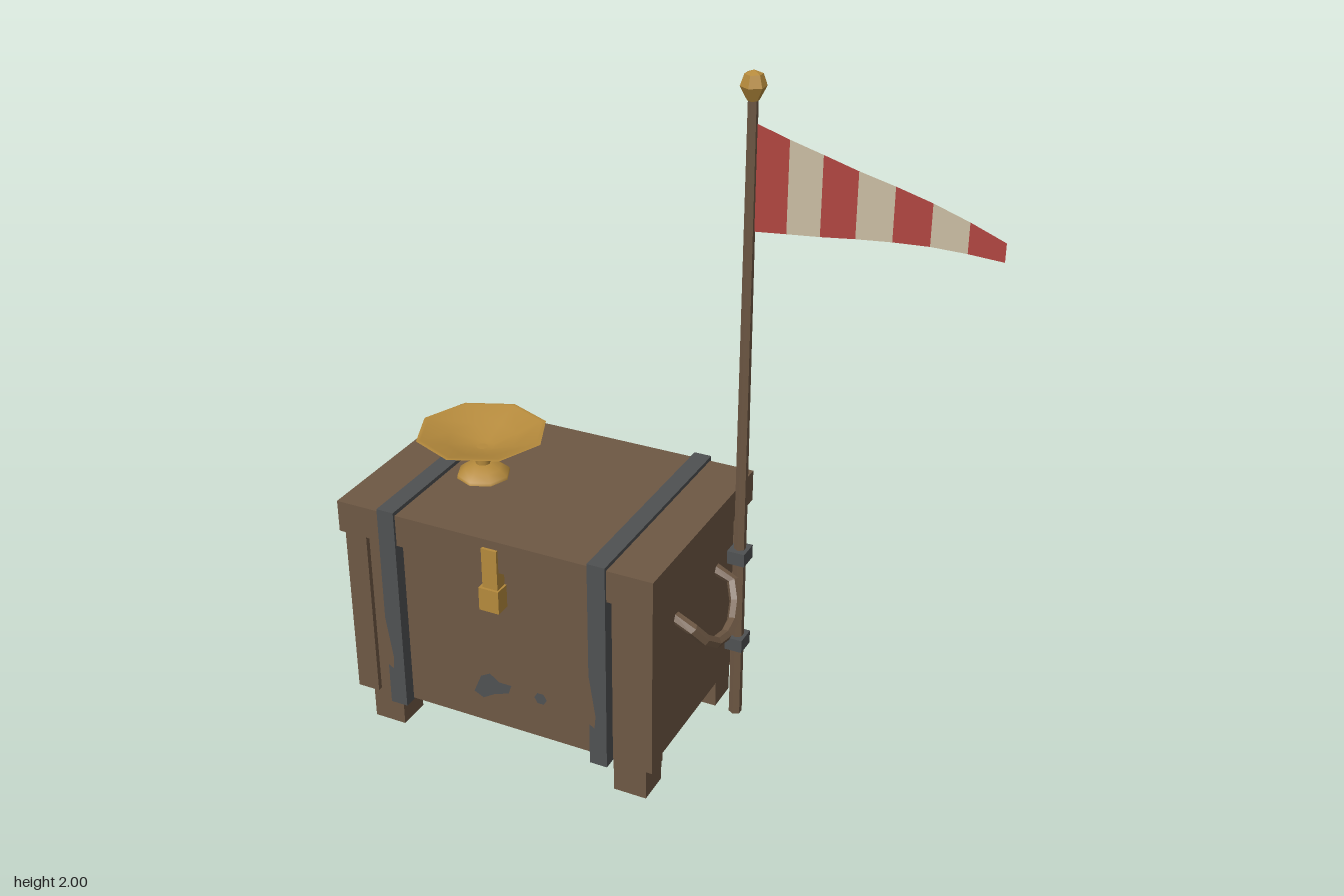
import * as THREE from 'three';

const CX = -0.315, CZ = -0.007; // centre of the chest

function material(name, color) {
  const m = new THREE.MeshStandardMaterial({ color, side: THREE.DoubleSide });
  m.name = name;
  return m;
}

export function createModel() {
  const root = new THREE.Group();
  root.name = 'chestWithPennant';
  const wood = material('brownWood', 0x6e5844);
  const iron = material('greyIron', 0x4f5152);
  const brass = material('brass', 0xb58a3c);
  const red = material('redCloth', 0xb04540);
  const cream = material('creamCloth', 0xcabda3);

  const add = (name, geo, mat, x = 0, y = 0, z = 0, parent = root) => {
    const mesh = new THREE.Mesh(geo, mat);
    mesh.name = name;
    mesh.position.set(x, y, z);
    parent.add(mesh);
    return mesh;
  };
  const box = (name, mat, x0, x1, y0, y1, z0, z1, parent) =>
    add(name, new THREE.BoxGeometry(x1 - x0, y1 - y0, z1 - z0), mat,
      (x0 + x1) / 2, (y0 + y1) / 2, (z0 + z1) / 2, parent);
  // flat facets for low-poly round parts
  const facet = (geo) => {
    const g = geo.toNonIndexed();
    g.computeVertexNormals();
    return g;
  };

  // Chest, built around its own centre
  const chest = new THREE.Group();
  chest.name = 'chest';
  chest.position.set(CX, 0, CZ);
  root.add(chest);
  box('body', wood, -0.475, 0.475, 0.12, 0.67, -0.31, 0.31, chest);
  box('lid', wood, -0.498, 0.498, 0.665, 0.763, -0.34, 0.34, chest);
  for (const sx of [-1, 1]) {
    for (const sz of [-1, 1]) {
      add('cornerPost', new THREE.BoxGeometry(0.07, 0.545, 0.07), wood, sx * 0.454, 0.3925, sz * 0.29, chest);
      add('foot', new THREE.BoxGeometry(0.102, 0.125, 0.102), wood, sx * 0.405, 0.0625, sz * 0.245, chest);
    }
  }

  // Iron straps over the lid and down the front and back, with worn patches
  for (const x of [-0.332, 0.332]) {
    box('strapTop', iron, x - 0.027, x + 0.027, 0.755, 0.775, -0.348, 0.348, chest);
    for (const s of [-1, 1]) {
      add('strapSide', new THREE.BoxGeometry(0.054, 0.655, 0.042), iron, x, 0.4425, s * 0.327, chest);
    }
    const wear = new THREE.Shape([[-0.027, 0.42], [-0.006, 0.28], [-0.01, 0.24], [-0.027, 0.25]]
      .map((p) => new THREE.Vector2(...p)));
    add('strapWear', new THREE.ShapeGeometry(wear), wood, x, 0, 0.3495, chest);
  }

  // Grey stains on the front panel
  const stain = new THREE.Shape([[-0.405, 0.215], [-0.38, 0.275], [-0.35, 0.292], [-0.32, 0.27], [-0.28, 0.27],
    [-0.29, 0.24], [-0.335, 0.225], [-0.375, 0.2]].map((p) => new THREE.Vector2(...p)));
  add('stain', new THREE.ShapeGeometry(stain), iron, 0, 0, CZ + 0.312);
  add('smallStain', new THREE.CircleGeometry(0.02, 6), iron, -0.185, 0.255, CZ + 0.312);

  // Brass latch
  box('latchPlate', brass, -0.337, -0.289, 0.6, 0.737, 0.3, 0.342);
  box('latchCatch', brass, -0.346, -0.283, 0.54, 0.612, 0.3, 0.35);

  // Carrying handles, one per end
  for (const s of [-1, 1]) {
    const path = new THREE.CurvePath();
    const pts = [[0.47, 0.53, 0.14], [0.515, 0.515, 0.145], [0.545, 0.465, 0.115], [0.563, 0.42, 0.05]];
    const half = pts.map(([x, y, z]) => new THREE.Vector3(s * x, y, z));
    const all = [...half, ...half.slice().reverse().map((p) => new THREE.Vector3(p.x, p.y, -p.z))];
    for (let i = 1; i < all.length; i++) path.add(new THREE.LineCurve3(all[i - 1], all[i]));
    const curve = new THREE.CatmullRomCurve3(all, false, 'centripetal');
    add('handle', facet(new THREE.TubeGeometry(curve, 8, 0.018, 6)), wood, 0, 0, 0, chest);
  }

  // Brass dish on a domed base
  const dish = new THREE.Group();
  dish.name = 'dish';
  dish.position.set(-0.518, 0, 0.015);
  root.add(dish);
  const lathe = (pts, sides) => new THREE.LatheGeometry(pts.map((p) => new THREE.Vector2(...p)), sides);
  add('dishBase', lathe([[0.08, 0.76], [0.078, 0.772], [0.055, 0.79], [0.025, 0.802], [0, 0.802]], 8), brass, 0, 0, 0, dish);
  add('dishStem', new THREE.CylinderGeometry(0.022, 0.022, 0.06, 8), brass, 0, 0.825, 0, dish);
  add('dishBowl', lathe([[0, 0.845], [0.035, 0.845], [0.11, 0.872], [0.193, 0.904]], 8), brass, 0, 0, 0, dish);
  add('dishInside', lathe([[0.193, 0.904], [0.18, 0.905], [0.105, 0.878], [0.035, 0.856], [0, 0.854]], 8), brass, 0, 0, 0, dish);

  // Flagpole with faceted finial and iron brackets
  const pole = new THREE.Group();
  pole.name = 'flagpole';
  pole.position.set(0.205, 0, -0.207);
  root.add(pole);
  add('pole', facet(new THREE.CylinderGeometry(0.014, 0.02, 1.94, 6)), wood, 0, 0.97, 0, pole);
  add('finial', facet(lathe([[0.016, 1.92], [0.036, 1.958], [0.025, 1.99], [0, 2]], 6)), brass, 0, 0, 0, pole);
  for (const y of [0.26, 0.56]) {
    add('poleBracket', new THREE.BoxGeometry(0.054, 0.042, 0.064), iron, 0, y, 0, pole);
  }

  // Waving pennant in seven alternating stripes
  const pennant = new THREE.Group();
  pennant.name = 'pennant';
  root.add(pennant);
  const top = [1.86, 1.835, 1.81, 1.78, 1.75, 1.715, 1.675, 1.632];
  const bottom = [1.565, 1.578, 1.588, 1.597, 1.6, 1.598, 1.59, 1.58];
  const wave = [-0.205, -0.193, -0.188, -0.192, -0.205, -0.222, -0.236, -0.245];
  const X = (i) => 0.22 + i * 0.095;
  for (let i = 0; i < 7; i++) {
    const g = new THREE.BufferGeometry();
    g.setAttribute('position', new THREE.Float32BufferAttribute([
      X(i), bottom[i], wave[i], X(i + 1), bottom[i + 1], wave[i + 1],
      X(i + 1), top[i + 1], wave[i + 1], X(i), top[i], wave[i]], 3));
    g.setIndex([0, 1, 2, 0, 2, 3]);
    g.computeVertexNormals();
    add('stripe', g, i % 2 ? cream : red, 0, 0, 0, pennant);
  }
  return root;
}
